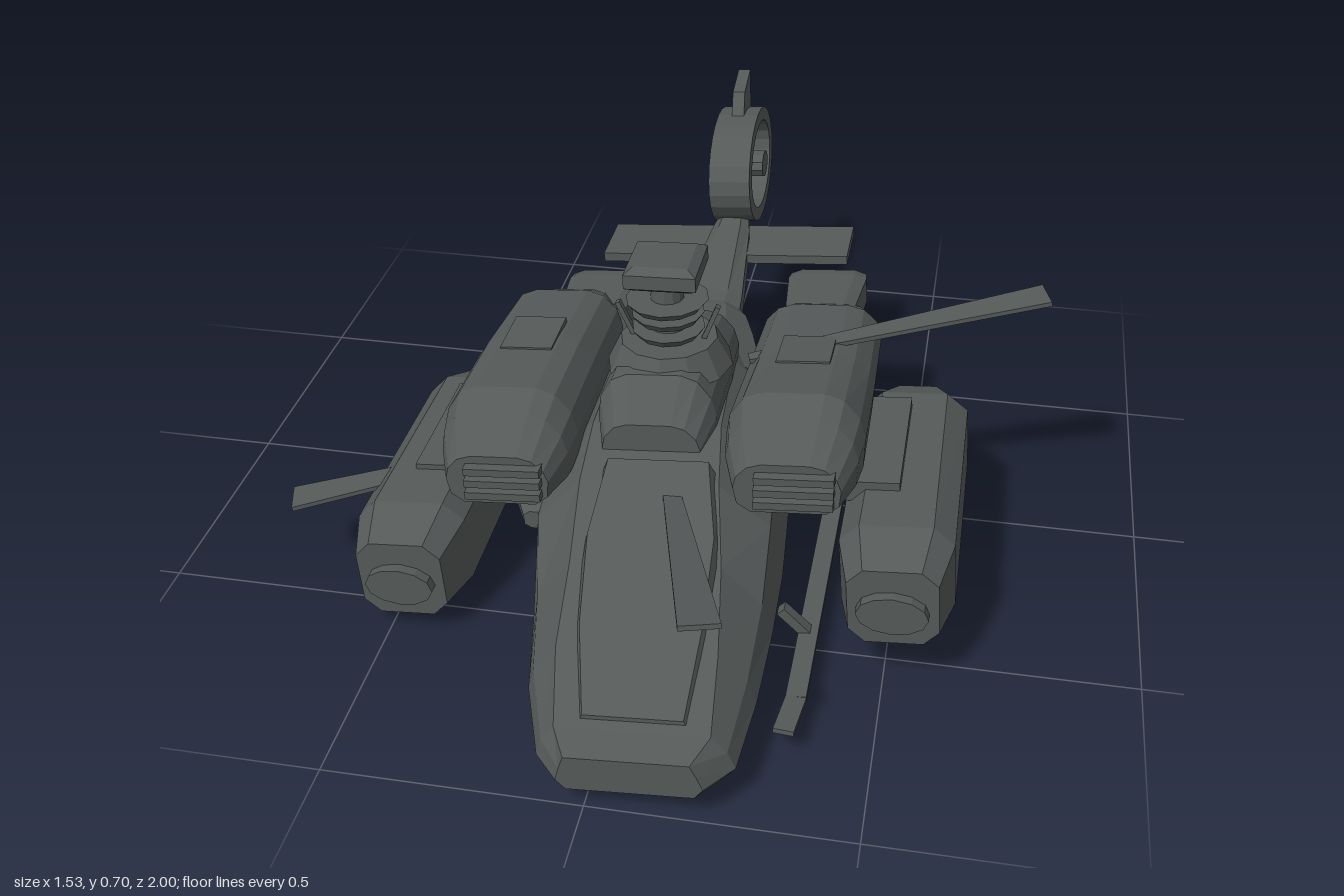
import * as THREE from 'three';

const ROLL = 0.08; // the whole aircraft leans to its right

export function createModel() {
  const model = new THREE.Group();
  model.name = 'helicopter';
  const grey = new THREE.MeshStandardMaterial({ color: 0x555a59 });
  grey.name = 'gunmetal grey';

  const add = (name, geo, parent = model) => {
    const g = geo.index ? geo.toNonIndexed() : geo;
    g.computeVertexNormals(); // faceted normals
    const mesh = new THREE.Mesh(g, grey);
    mesh.name = name;
    parent.add(mesh);
    return mesh;
  };
  const box = (name, w, h, d, x, y, z) => {
    const m = add(name, new THREE.BoxGeometry(w, h, d));
    m.position.set(x, y, z);
    m.rotation.z = ROLL;
    return m;
  };
  const drum = (name, rTop, rBottom, h, x, y, z, parent, sides = 12) => {
    const m = add(name, new THREE.CylinderGeometry(rTop, rBottom, h, sides), parent);
    m.position.set(x, y, z);
    return m;
  };

  // Skin a row of cross-sections running from back to front
  const loft = (name, rings) => {
    const pos = [], n = rings[0].length;
    const tri = (...p) => p.forEach(v => pos.push(...v));
    for (let i = 0; i < rings.length - 1; i++) {
      const a = rings[i], b = rings[i + 1];
      for (let j = 0; j < n; j++) {
        const k = (j + 1) % n;
        tri(a[j], a[k], b[k]);
        tri(a[j], b[k], b[j]);
      }
    }
    const first = rings[0], last = rings[rings.length - 1];
    for (let j = 1; j < n - 1; j++) {
      tri(last[0], last[j], last[j + 1]);
      tri(first[0], first[j + 1], first[j]);
    }
    const g = new THREE.BufferGeometry();
    g.setAttribute('position', new THREE.Float32BufferAttribute(pos, 3));
    return add(name, g);
  };
  const roll = (cx, cy, z, pts) => pts.map(([x, y]) => [
    cx + x * Math.cos(ROLL) - y * Math.sin(ROLL),
    cy + x * Math.sin(ROLL) + y * Math.cos(ROLL), z]);
  // Chamfered rectangle section: half width, half height, chamfer share
  const oct = (cx, cy, z, w, h, c = 0.45) => {
    const d = 1 - c;
    return roll(cx, cy, z, [[w, -h * d], [w, h * d], [w * d, h], [-w * d, h],
      [-w, h * d], [-w, -h * d], [-w * d, -h], [w * d, -h]]);
  };
  // Rounder section with a domed top, given by bottom and top heights
  const dome = (cx, lo, hi, z, w) => {
    const h = (hi - lo) / 2;
    return roll(cx, lo + h, z, [[w * 0.95, -h * 0.65], [w, 0], [w * 0.93, h * 0.45], [w * 0.72, h * 0.85],
      [w * 0.45, h], [-w * 0.45, h], [-w * 0.72, h * 0.85], [-w * 0.93, h * 0.45],
      [-w, 0], [-w * 0.95, -h * 0.65], [-w * 0.7, -h], [w * 0.7, -h]]);
  };

  // Hull: [z, centre x, half width, bottom, top, roof width share, shoulder height share]
  const hull = [
    [-0.1, -0.01, 0.17, 0.14, 0.33, 0.6, 0.66], [-0.05, 0, 0.22, 0.08, 0.34, 0.55, 0.66],
    [0.02, 0.01, 0.245, 0.045, 0.355, 0.52, 0.68], [0.3, 0.025, 0.255, 0.04, 0.37, 0.52, 0.68],
    [0.45, 0.035, 0.255, 0.04, 0.33, 0.55, 0.68], [0.6, 0.05, 0.24, 0.04, 0.245, 0.62, 0.6],
    [0.78, 0.065, 0.22, 0.04, 0.185, 0.7, 0.6], [0.94, 0.085, 0.185, 0.04, 0.135, 0.78, 0.65],
    [1, 0.085, 0.135, 0.045, 0.12, 0.85, 0.65],
  ];
  loft('hull', hull.map(([z, cx, w, lo, hi, top, sh]) => {
    const h = hi - lo;
    return roll(cx, lo, z, [[w * 0.87, 0], [w, h * 0.27], [w * 0.93, h * sh], [w * top, h],
      [-w * top, h], [-w * 0.93, h * sh], [-w, h * 0.27], [-w * 0.87, 0]]);
  }));
  // Canopy glazing standing slightly proud of the nose
  loft('canopy', [[0.42, 0.03, 0.13, 0.3, 0.365], [0.56, 0.045, 0.16, 0.18, 0.285],
    [0.74, 0.06, 0.15, 0.13, 0.212], [0.92, 0.08, 0.12, 0.09, 0.15]]
    .map(([z, cx, w, lo, hi]) => roll(cx, lo, z,
      [[w, 0], [w * 0.78, hi - lo], [-w * 0.78, hi - lo], [-w, 0]])));
  loft('sideFairing', [oct(-0.22, 0.21, -0.02, 0.03, 0.02), oct(-0.25, 0.21, 0.08, 0.05, 0.032),
    oct(-0.25, 0.21, 0.34, 0.05, 0.032), oct(-0.22, 0.2, 0.44, 0.03, 0.02)]);

  // Rear fuselage and tail boom
  loft('tailBoom', [oct(0, 0.345, -0.72, 0.03, 0.03), oct(0, 0.318, -0.63, 0.048, 0.036),
    oct(0, 0.28, -0.36, 0.072, 0.036), oct(-0.005, 0.265, -0.315, 0.08, 0.05),
    oct(-0.005, 0.252, -0.29, 0.1, 0.068), oct(-0.01, 0.25, -0.2, 0.135, 0.077),
    oct(-0.01, 0.25, 0, 0.19, 0.1)]);
  box('stabiliser', 0.6, 0.022, 0.16, 0, 0.312, -0.61);

  // Tail fan: squashed ring, spokes, hub and fin
  const fan = new THREE.Group();
  fan.name = 'tailFan';
  fan.position.set(-0.003, 0.44, -0.808);
  fan.rotation.z = ROLL;
  model.add(fan);
  const ring = new THREE.Shape().absellipse(0, 0, 0.192, 0.131, 0, Math.PI * 2);
  ring.holes.push(new THREE.Path().absellipse(0, 0, 0.15, 0.1, 0, Math.PI * 2, true));
  add('fanRing', new THREE.ExtrudeGeometry(ring, { depth: 0.1, bevelEnabled: false, curveSegments: 12 })
    .rotateY(Math.PI / 2).translate(-0.05, 0, 0), fan);
  for (let i = 0; i < 8; i++) {
    add('fanBlade', new THREE.BoxGeometry(0.01, 0.16, 0.034).translate(0, 0.08, 0)
      .rotateY(0.4).rotateX(i * Math.PI / 4 + 0.2).scale(1, 0.68, 1), fan);
  }
  add('fanHub', new THREE.CylinderGeometry(0.045, 0.045, 0.12, 10).rotateZ(Math.PI / 2)
    .scale(1, 0.68, 1), fan);
  const fin = new THREE.Shape([[-0.02, 0.11], [0.1, 0.1], [0.13, 0.2], [0.03, 0.18]]
    .map(p => new THREE.Vector2(...p)));
  add('tailFin', new THREE.ExtrudeGeometry(fin, { depth: 0.03, bevelEnabled: false })
    .rotateY(Math.PI / 2).translate(-0.015, 0, 0), fan);

  // Rotor housing on the roof
  loft('rotorHousing', [dome(0, 0.29, 0.39, -0.13, 0.08), dome(0, 0.29, 0.45, -0.03, 0.115),
    dome(0, 0.29, 0.485, 0.1, 0.122), dome(0, 0.3, 0.485, 0.3, 0.122), dome(0, 0.3, 0.41, 0.37, 0.1)]);

  // Mast with stacked discs and a flat cap
  const mast = new THREE.Group();
  mast.name = 'rotorMast';
  mast.position.set(0.003, 0.48, 0.18);
  mast.rotation.z = 0.04;
  model.add(mast);
  drum('mastCollar', 0.1, 0.13, 0.06, 0, 0, 0, mast);
  drum('mastShaft', 0.032, 0.04, 0.18, 0, 0.08, 0, mast);
  [[0.045, 0.075], [0.08, 0.075], [0.11, 0.085]].forEach(([y, r]) =>
    drum('mastDisc', r, r * 0.85, 0.016, 0, y, 0, mast));
  const capLayer = (name, wide, narrow, h, y) => {
    drum(name, narrow * Math.SQRT2, wide * Math.SQRT2, h, 0, y, 0, mast, 4).rotation.y = Math.PI / 4;
  };
  capLayer('mastCap', 0.073, 0.073, 0.03, 0.186);
  capLayer('capLid', 0.073, 0.055, 0.012, 0.207);
  capLayer('capBase', 0.055, 0.073, 0.012, 0.165);
  for (const s of [-1, 1]) {
    const link = add('controlLink', new THREE.BoxGeometry(0.01, 0.08, 0.014), mast);
    link.position.set(s * 0.088, 0.065, 0);
    link.rotation.z = -s * 0.4;
  }

  // Bent rotor blades: root and tip points, widening outward
  const blades = [
    [[0.16, 0.44, 0.13], [0.755, 0.56, -0.035]], [[-0.2, 0.28, 0.25], [-0.755, 0.168, 0.42]],
    [[0.03, 0.3, 0.36], [0.205, 0.42, 0.97]], [[-0.09, 0.28, -0.1], [-0.205, 0.265, -0.53]],
  ];
  for (const [a, b] of blades) {
    const root = new THREE.Vector3(...a), tip = new THREE.Vector3(...b);
    const length = root.distanceTo(tip);
    const g = new THREE.BoxGeometry(0.075, 0.01, length).translate(0, 0, length / 2);
    const p = g.attributes.position;
    for (let i = 0; i < p.count; i++) if (p.getZ(i) < 0.01) p.setX(i, p.getX(i) * 0.35);
    const blade = add('rotorBlade', g);
    blade.position.copy(root);
    blade.lookAt(tip);
  }

  for (const s of [-1, 1]) {
    const side = s < 0 ? 'right' : 'left';
    // Engine pod with intake slats, roof hatch and exhaust; the left one sags to the rear
    const ex = s * 0.288, ey = 0.387 + s * 0.026, sag = s > 0 ? 0.03 : 0;
    loft(side + 'EnginePod', [dome(ex + 0.01, ey - 0.085, ey + 0.035 - sag, -0.17, 0.095),
      dome(ex, ey - 0.105, ey + 0.07 - sag, -0.1, 0.13),
      dome(ex, ey - 0.1, ey + 0.095 - sag, 0.15, 0.136), dome(ex, ey - 0.1, ey + 0.1, 0.36, 0.138),
      dome(ex, ey - 0.1, ey + 0.075, 0.42, 0.13), dome(ex, ey - 0.095, ey + 0.015, 0.485, 0.105)]);
    for (let i = 0; i < 3; i++)
      box(side + 'IntakeSlat', 0.155, 0.016, 0.04, ex + 0.015, ey - 0.065 + i * 0.028, 0.486);
    const hatch = box(side + 'RoofHatch', 0.11, 0.012, 0.13, ex - 0.008, ey + 0.094 - sag, 0.14);
    hatch.rotation.x = -sag * 4;
    const xx = s * 0.255 + 0.025;
    loft(side + 'Exhaust', [oct(xx, ey - 0.015, -0.3, 0.085, 0.034, 0.3),
      oct(xx, ey - 0.015, -0.27, 0.088, 0.04, 0.3), oct(xx, ey - 0.015, -0.12, 0.075, 0.045, 0.3)]);

    // Stub wing carrying the outer pod
    box(side + 'StubWing', 0.34, 0.045, 0.32, s * 0.33, 0.265 + s * 0.026, 0.2);
    const px = s * 0.49 + 0.02, py = 0.167 + s * 0.036;
    loft(side + 'OuterPod', [oct(px, py + 0.015, -0.08, 0.072, 0.065), oct(px, py, -0.01, 0.112, 0.105, 0.38),
      oct(px, py, 0.48, 0.112, 0.108, 0.36), oct(px, py - 0.01, 0.58, 0.088, 0.085, 0.36)]);
    const lens = drum(side + 'PodLens', 0.07, 0.07, 0.04, px, py - 0.015, 0.582);
    lens.rotation.x = Math.PI / 2;
    lens.scale.z = 0.6;

    // Landing skid with two struts and an angled toe
    const kx = s < 0 ? -0.09 : 0.345, ky = s < 0 ? 0.007 : 0.045;
    box(side + 'Skid', 0.04, 0.01, 0.75, kx, ky, 0.325);
    const toe = box(side + 'SkidToe', 0.04, 0.01, 0.11, kx - 0.005, ky + 0.004, 0.75);
    toe.rotation.set(-0.08, -0.1, 0);
    for (const z of [0, 0.5]) {
      const strut = box(side + 'SkidStrut', 0.02, 0.075, 0.025, kx - 0.03, ky + 0.025, z);
      strut.rotation.z = 0.8;
    }
  }
  return model;
}
